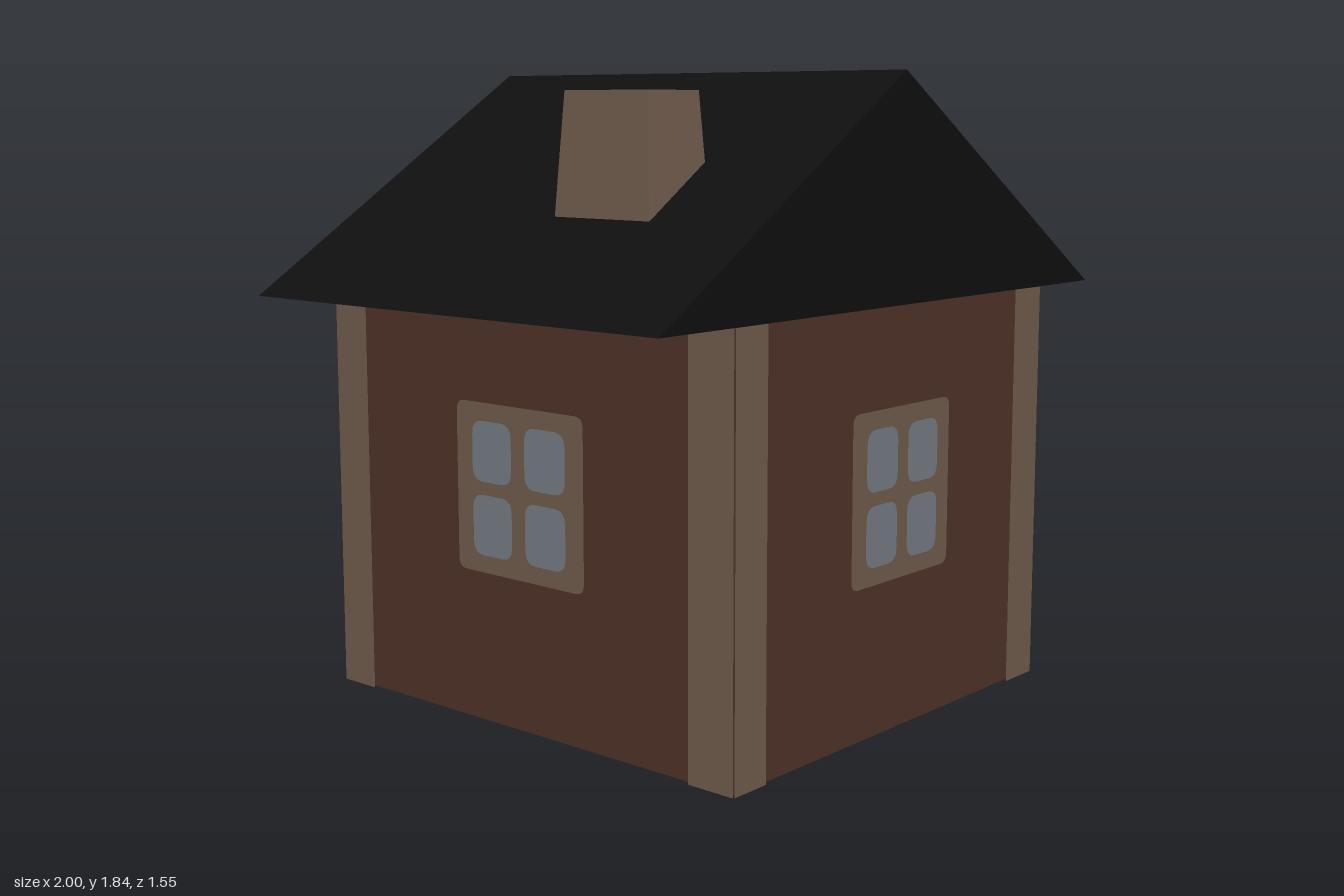
import * as THREE from 'three';

const mat = (name, color) => {
  const m = new THREE.MeshStandardMaterial({ color });
  m.name = name;
  return m;
};

export function createModel() {
  const wallMat = mat('wall brown', 0x4f3227);
  const trimMat = mat('trim tan', 0x705c4c);
  const glassMat = mat('glass grey', 0x747b82);
  const roofMat = mat('roof black', 0x0f0f0f);

  const W = 0.72, D = 0.77, H = 1.2; // half width, half depth, wall height
  const house = new THREE.Group();
  house.name = 'house';

  const add = (parent, name, geometry, material) => {
    const m = new THREE.Mesh(geometry, material);
    m.name = name;
    parent.add(m);
    return m;
  };

  // Flat rectangle with rounded corners, facing +z
  const plate = (x0, x1, y0, y1, z, r = 0) => {
    const s = new THREE.Shape();
    if (r === 0) {
      s.moveTo(x0, y0).lineTo(x1, y0).lineTo(x1, y1).lineTo(x0, y1);
    } else {
      s.moveTo(x0 + r, y0).lineTo(x1 - r, y0).quadraticCurveTo(x1, y0, x1, y0 + r);
      s.lineTo(x1, y1 - r).quadraticCurveTo(x1, y1, x1 - r, y1);
      s.lineTo(x0 + r, y1).quadraticCurveTo(x0, y1, x0, y1 - r);
      s.lineTo(x0, y0 + r).quadraticCurveTo(x0, y0, x0 + r, y0);
    }
    return new THREE.ShapeGeometry(s, 4).translate(0, 0, z);
  };

  // Four-pane window centred on (cx, cy)
  const addWindow = (parent, cx, cy, w, h) => {
    const win = new THREE.Group();
    win.name = 'window';
    win.position.set(cx, cy, 0);
    add(win, 'windowFrame', plate(-w / 2, w / 2, -h / 2, h / 2, 0.003, 0.03), trimMat);
    for (const sx of [-1, 1]) for (const sy of [-1, 1]) {
      const px = sx * w * 0.21, py = sy * h * 0.217;
      const pw = w * 0.157, ph = h * 0.178;
      add(win, 'windowPane', plate(px - pw, px + pw, py - ph, py + ph, 0.006, 0.04), glassMat);
    }
    parent.add(win);
  };

  // Wall body
  add(house, 'walls', new THREE.BoxGeometry(W * 2, H - 0.006, D * 2)
    .translate(0, H / 2 + 0.003, 0), wallMat);

  // Corner trim and a window on each of the four sides
  const sides = [
    ['front', W, D, 0], ['leftSide', D, W, Math.PI / 2],
    ['back', W, D, Math.PI], ['rightSide', D, W, -Math.PI / 2],
  ];
  for (const [name, half, out, angle] of sides) {
    const side = new THREE.Group();
    side.name = name;
    side.rotation.y = angle;
    const k = half / W;
    const face = new THREE.Group();
    face.name = name + 'Details';
    face.position.z = out;
    add(face, 'cornerTrim', plate(-half, -0.593 * k, 0, H, 0.003), trimMat);
    add(face, 'cornerTrim', plate(0.58 * k, half, 0, H, 0.003), trimMat);
    addWindow(face, 0.003, 0.68, 0.462 * k, 0.485);
    side.add(face);
    house.add(side);
  }

  // Underside: dark end bands, trim strips and a window pattern
  const floor = new THREE.Group();
  floor.name = 'underside';
  floor.rotation.x = Math.PI / 2;
  floor.position.y = 0.006;
  add(floor, 'frontBand', plate(-W, W, 0.46, D, 0.004), roofMat);
  add(floor, 'backBand', plate(-W, W, -D, -0.65, 0.004), roofMat);
  add(floor, 'floorTrim', plate(-W, -0.59, -0.65, 0.46, 0.004), trimMat);
  add(floor, 'floorTrim', plate(0.59, W, -0.65, 0.46, 0.004), trimMat);
  addWindow(floor, 0.01, -0.15, 0.46, 0.42);
  house.add(floor);

  // Gable roof prism
  const gable = new THREE.Shape();
  gable.moveTo(-1, H).lineTo(1, H).lineTo(0, 1.835);
  add(house, 'roof', new THREE.ExtrudeGeometry(gable, { depth: D * 2, bevelEnabled: false })
    .translate(0, 0, -D), roofMat);

  // Tapered chimney with a dark flue opening on top
  const y0 = 1.4, y1 = 1.78;
  const chimney = new THREE.BoxGeometry(1, y1 - y0, 1);
  const p = chimney.attributes.position;
  for (let i = 0; i < p.count; i++) {
    const top = p.getY(i) > 0;
    p.setX(i, p.getX(i) * (top ? 0.205 : 0.246));
    p.setZ(i, p.getZ(i) * (top ? 0.3 : 0.352));
  }
  chimney.translate(-0.5, (y0 + y1) / 2, 0.225);
  chimney.computeVertexNormals();
  // Box face order: +x, -x, top, bottom, +z, -z
  add(house, 'chimney', chimney, [trimMat, trimMat, roofMat, trimMat, trimMat, trimMat]);

  return house;
}
